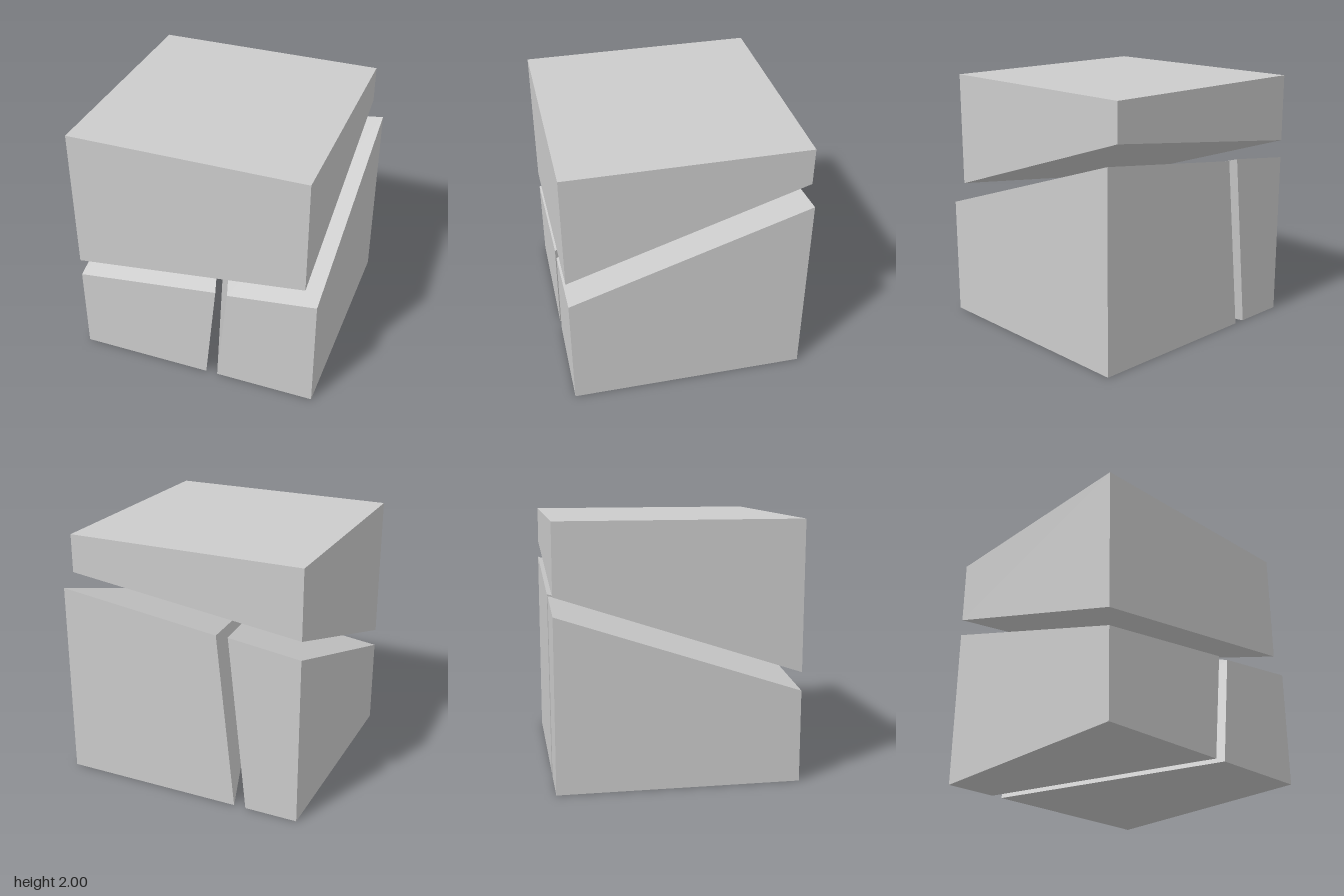
import * as THREE from 'three';

// Block extents and the offsets that open the cracks
const LEFT = -0.977, RIGHT = 0.882, HALF_DEPTH = 0.928, HEIGHT = 2;
const SPREAD = 0.095, LIFT = 0.143;

// Sloping cut between the lower and upper blocks, as a height over x and z
const slopeY = (x, z) => 0.71 + 0.1263 * (x - LEFT) + 0.331 * (HALF_DEPTH - z);
// Leaning cut between the two lower blocks, as an x over y and z
const splitX = (y, z) => 0.087 + 0.106 * y - 0.348 * (HALF_DEPTH - z);

// Where the two cuts meet at a given depth
function meeting(z) {
  let y = 1;
  for (let i = 0; i < 12; i++) y = slopeY(splitX(y, z), z);
  return [splitX(y, z), y];
}

// A box whose corners are placed by a rule: (isRight, isTop, z) -> [x, y]
function block(name, corner, dx = 0, dy = 0) {
  const geometry = new THREE.BoxGeometry(1, 1, 1);
  const p = geometry.attributes.position;
  for (let i = 0; i < p.count; i++) {
    const z = Math.sign(p.getZ(i)) * HALF_DEPTH;
    const [x, y] = corner(p.getX(i) > 0, p.getY(i) > 0, z);
    p.setXYZ(i, x + dx, y + dy, z);
  }
  geometry.computeVertexNormals();
  const mesh = new THREE.Mesh(
    geometry,
    new THREE.MeshStandardMaterial({ color: 0xcccccc, flatShading: true })
  );
  mesh.name = name;
  return mesh;
}

export function createModel() {
  const group = new THREE.Group();
  group.name = 'splitCube';

  // Upper block, raised off the sloping cut
  group.add(block('upperBlock', (right, top, z) => {
    const x = right ? RIGHT : LEFT;
    return [x, top ? HEIGHT - LIFT : slopeY(x, z)];
  }, 0, LIFT));

  // Lower block on the -x side
  group.add(block('lowerRightBlock', (right, top, z) => {
    if (right) return top ? meeting(z) : [splitX(0, z), 0];
    return [LEFT, top ? slopeY(LEFT, z) : 0];
  }));

  // Lower block on the +x side, pushed outwards
  group.add(block('lowerLeftBlock', (right, top, z) => {
    if (!right) return top ? meeting(z) : [splitX(0, z), 0];
    return [RIGHT, top ? slopeY(RIGHT, z) : 0];
  }, SPREAD, 0));

  return group;
}
